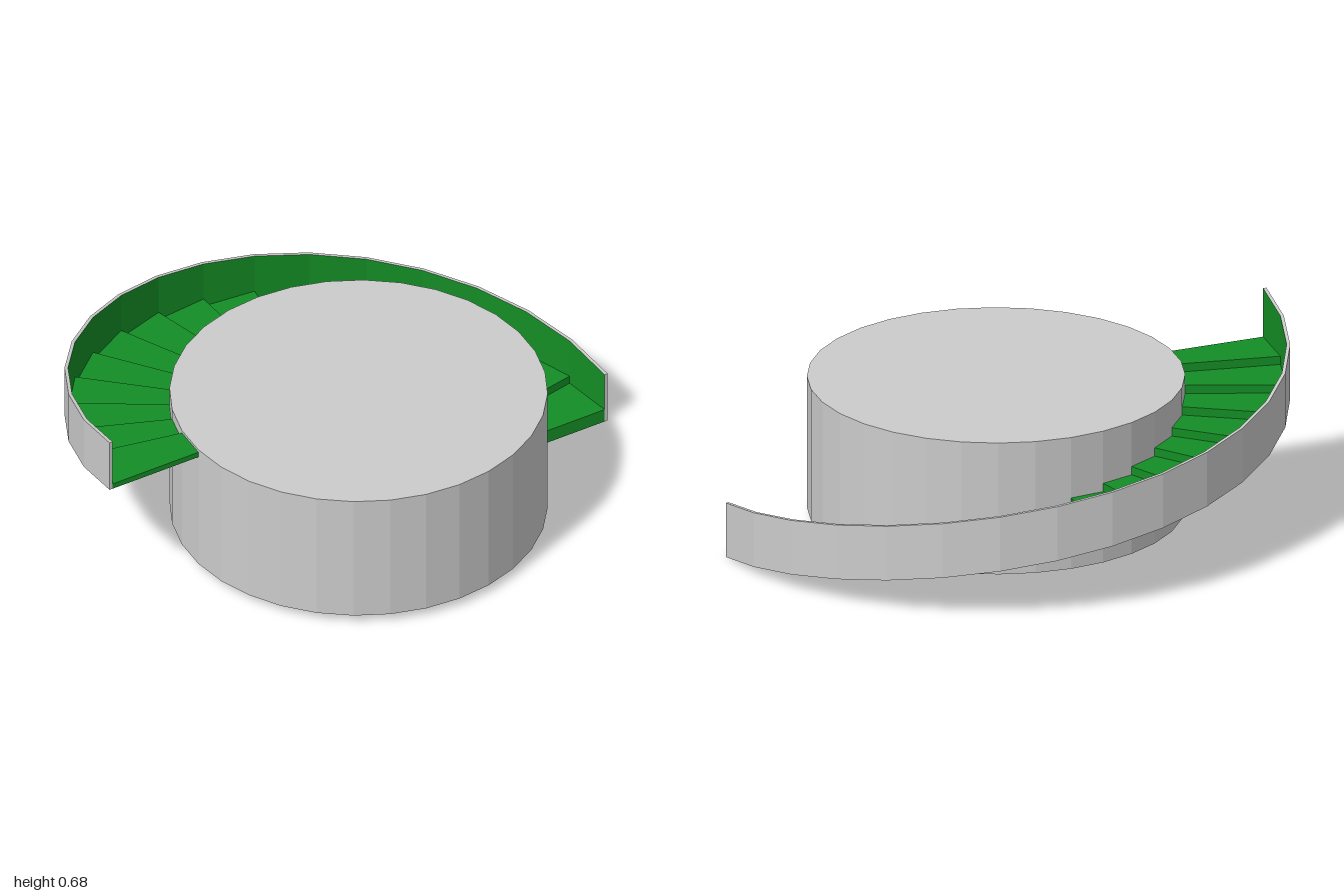
import * as THREE from 'three';

const STEPS = 16, RISE = 0.03, TREAD = 0.02, WALL_H = 0.2;
const CORE_R = 0.643, INNER_R = 0.58, WALL_IN = 0.988, WALL_OUT = 1;
const CENTRE_Z = 0.178;

const grey = new THREE.MeshStandardMaterial({ color: 0xcccccc, flatShading: true, side: THREE.DoubleSide });
const green = new THREE.MeshStandardMaterial({ color: 0x148d25, flatShading: true, side: THREE.DoubleSide });

// One wedge of the spiral: only the listed faces are made.
// bottom and top give [height at start, height at end]
function wedge(out, i, r0, r1, bottom, top, faces) {
  const p = (r, end, heights) => {
    const a = ((i + end) / STEPS) * Math.PI;
    return [r * Math.cos(a), heights[end], -r * Math.sin(a)];
  };
  const corners = {
    top: [p(r0, 0, top), p(r1, 0, top), p(r1, 1, top), p(r0, 1, top)],
    bottom: [p(r0, 0, bottom), p(r0, 1, bottom), p(r1, 1, bottom), p(r1, 0, bottom)],
    outer: [p(r1, 0, bottom), p(r1, 1, bottom), p(r1, 1, top), p(r1, 0, top)],
    inner: [p(r0, 0, bottom), p(r0, 0, top), p(r0, 1, top), p(r0, 1, bottom)],
    start: [p(r0, 0, bottom), p(r1, 0, bottom), p(r1, 0, top), p(r0, 0, top)],
    end: [p(r0, 1, bottom), p(r0, 1, top), p(r1, 1, top), p(r1, 1, bottom)],
  };
  for (const f of faces) {
    const [a, b, c, d] = corners[f];
    out.push(...a, ...b, ...c, ...a, ...c, ...d);
  }
}

function meshFrom(name, positions, material) {
  const g = new THREE.BufferGeometry();
  g.setAttribute('position', new THREE.Float32BufferAttribute(positions, 3));
  g.computeVertexNormals();
  const m = new THREE.Mesh(g, material);
  m.name = name;
  return m;
}

export function createModel() {
  const model = new THREE.Group();
  model.name = 'spiralStaircase';

  // Central drum
  const drum = new THREE.Mesh(new THREE.CylinderGeometry(CORE_R, CORE_R, 0.478, 32), grey);
  drum.name = 'centralDrum';
  drum.position.y = 0.271;
  model.add(drum);

  const stairs = new THREE.Group();
  stairs.name = 'stairs';
  model.add(stairs);
  const wall = [], lining = [];

  for (let i = 0; i < STEPS; i++) {
    const slope = [i * RISE, (i + 1) * RISE];
    const last = i === STEPS - 1;

    // Flat tread with riser over a sloping underside
    const step = [];
    const level = (i + 1) * RISE + TREAD;
    const faces = ['top', 'bottom', 'start'];
    if (last) faces.push('end');
    wedge(step, i, INNER_R, WALL_IN, slope, [level, level], faces);
    stairs.add(meshFrom('step', step, green));

    // Outer wall climbing with the stairs, lined in green
    const rim = slope.map((y) => y + WALL_H - 0.003);
    const wallFaces = ['outer', 'top', 'bottom'];
    if (i === 0) wallFaces.push('start');
    if (last) wallFaces.push('end');
    wedge(wall, i, WALL_IN, WALL_OUT, slope, rim, wallFaces);
    wedge(lining, i, WALL_IN, WALL_OUT, slope, rim, ['inner']);
  }
  model.add(meshFrom('outerWall', wall, grey), meshFrom('wallLining', lining, green));

  model.position.z = CENTRE_Z;
  const root = new THREE.Group();
  root.add(model);
  return root;
}
